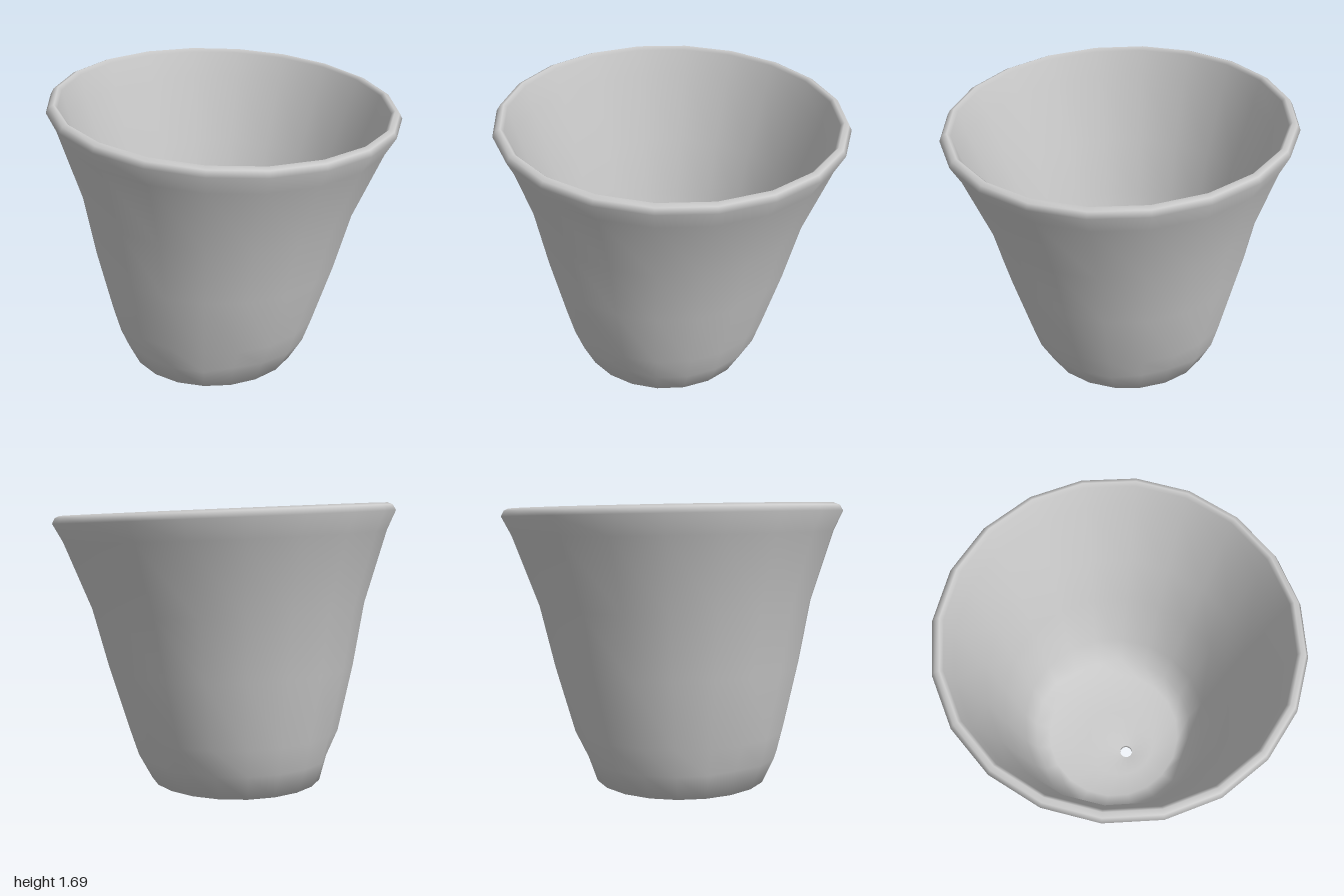
import * as THREE from 'three';
import { mergeVertices } from 'three/addons/utils/BufferGeometryUtils.js';

// Closed wall section [radius, height]: underside, outer wall, rolled rim, inner wall, floor, drain hole
const profile = [
  [0.04, 0.05], [0.22, 0.025], [0.4, 0], [0.515, 0.02],
  [0.59, 0.17], [0.635, 0.33], [0.735, 0.72], [0.812, 1.08], [0.955, 1.49],
  [1.01, 1.6], [0.992, 1.633], [0.965, 1.645], [0.945, 1.625],
  [0.905, 1.48], [0.77, 1.08], [0.69, 0.72], [0.585, 0.33], [0.52, 0.15],
  [0.43, 0.1], [0.22, 0.09], [0.04, 0.08], [0.04, 0.05],
];

// Shallow dents around the foot: [angle, depth]
const dents = [[-0.35, 0.05], [1.9, 0.045], [3.9, 0.03]];

function createPotGeometry() {
  const points = profile.map(([r, y]) => new THREE.Vector2(r, y));
  const lathe = new THREE.LatheGeometry(points, 20, Math.PI / 20);
  const pos = lathe.attributes.position;
  for (let i = 0; i < pos.count; i++) {
    let x = pos.getX(i), y = pos.getY(i), z = pos.getZ(i);
    const r = Math.hypot(x, z);
    const angle = Math.atan2(x, z);

    // push the foot of the outer wall in at each dent
    let scale = 1;
    if (r > 0.5 && y > 0.1 && y < 0.25) {
      for (const [a, depth] of dents) {
        const d = Math.atan2(Math.sin(angle - a), Math.cos(angle - a));
        scale -= depth * Math.exp(-((d / 0.2) ** 2)) / r;
      }
    }
    // hand-shaped unevenness of the wall
    if (r > 0.5) scale += 0.006 * Math.sin(angle * 3 + y * 2) * (1 - y / 1.7);
    x *= scale;
    z *= scale;

    // the body leans slightly, and the rim slopes down to the front left
    const low = 1 - y / 1.6;
    const up = y / 1.6;
    const hole = Math.max(0, 1 - r / 0.42);
    y -= (0.025 * x + 0.035 * z) * up;
    x += -0.06 * low - 0.135 * hole;
    z += -0.05 * low + 0.085 * hole;
    pos.setXYZ(i, x, y, z);
  }
  // weld the seam so the shading stays smooth all around
  lathe.deleteAttribute('uv');
  lathe.deleteAttribute('normal');
  const welded = mergeVertices(lathe, 1e-4);
  welded.computeVertexNormals();
  return welded;
}

export function createModel() {
  const group = new THREE.Group();
  group.name = 'flowerPot';
  const material = new THREE.MeshStandardMaterial({ color: 0xcccccc });
  const pot = new THREE.Mesh(createPotGeometry(), material);
  pot.name = 'potBody';
  group.add(pot);
  return group;
}
